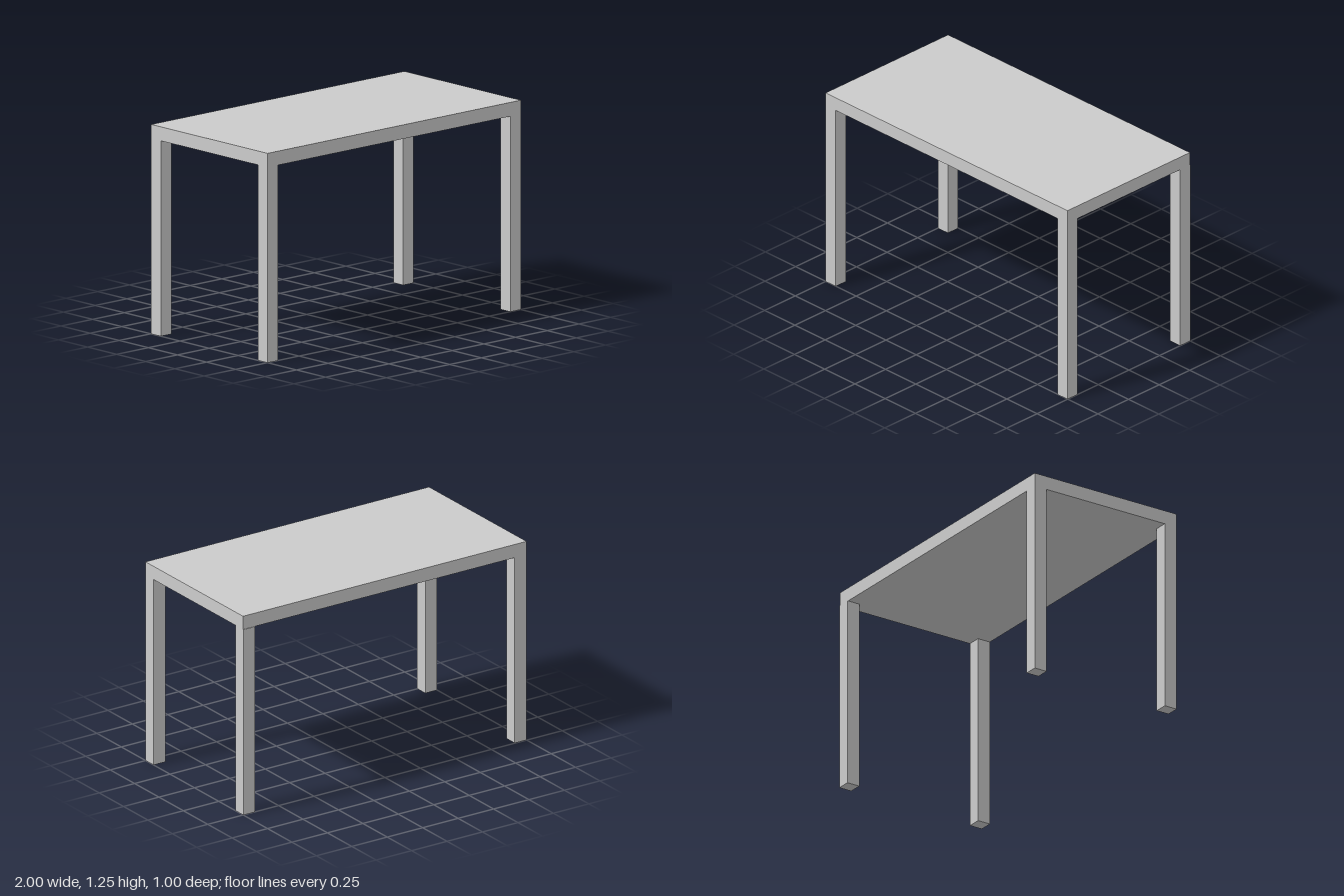
import * as THREE from 'three';

const T = 0.0833;        // leg width and top thickness
const HEIGHT = 1.25;
const FRONT = 0.502;     // front edge of the top
const BACK = -0.498;     // back edge of the top

export function createModel() {
  const table = new THREE.Group();
  table.name = 'table';
  const material = new THREE.MeshStandardMaterial({ color: 0xcccccc, flatShading: true });

  function box(name, size, position) {
    const mesh = new THREE.Mesh(new THREE.BoxGeometry(...size), material);
    mesh.name = name;
    mesh.position.set(...position);
    table.add(mesh);
  }

  // Flat table top
  box('tableTop', [2, T, FRONT - BACK], [0, HEIGHT - T / 2, (FRONT + BACK) / 2]);

  // Square legs at the corners; the back left one stands slightly proud of the top
  const legHeight = HEIGHT - T;
  const legs = [
    ['frontLeftLeg', 1, FRONT - T / 2],
    ['frontRightLeg', -1, FRONT - T / 2],
    ['backLeftLeg', 1, BACK - 0.004 + T / 2],
    ['backRightLeg', -1, BACK + T / 2],
  ];
  for (const [name, side, z] of legs) {
    box(name, [T, legHeight, T], [side * (1 - T / 2), legHeight / 2, z]);
  }

  return table;
}
